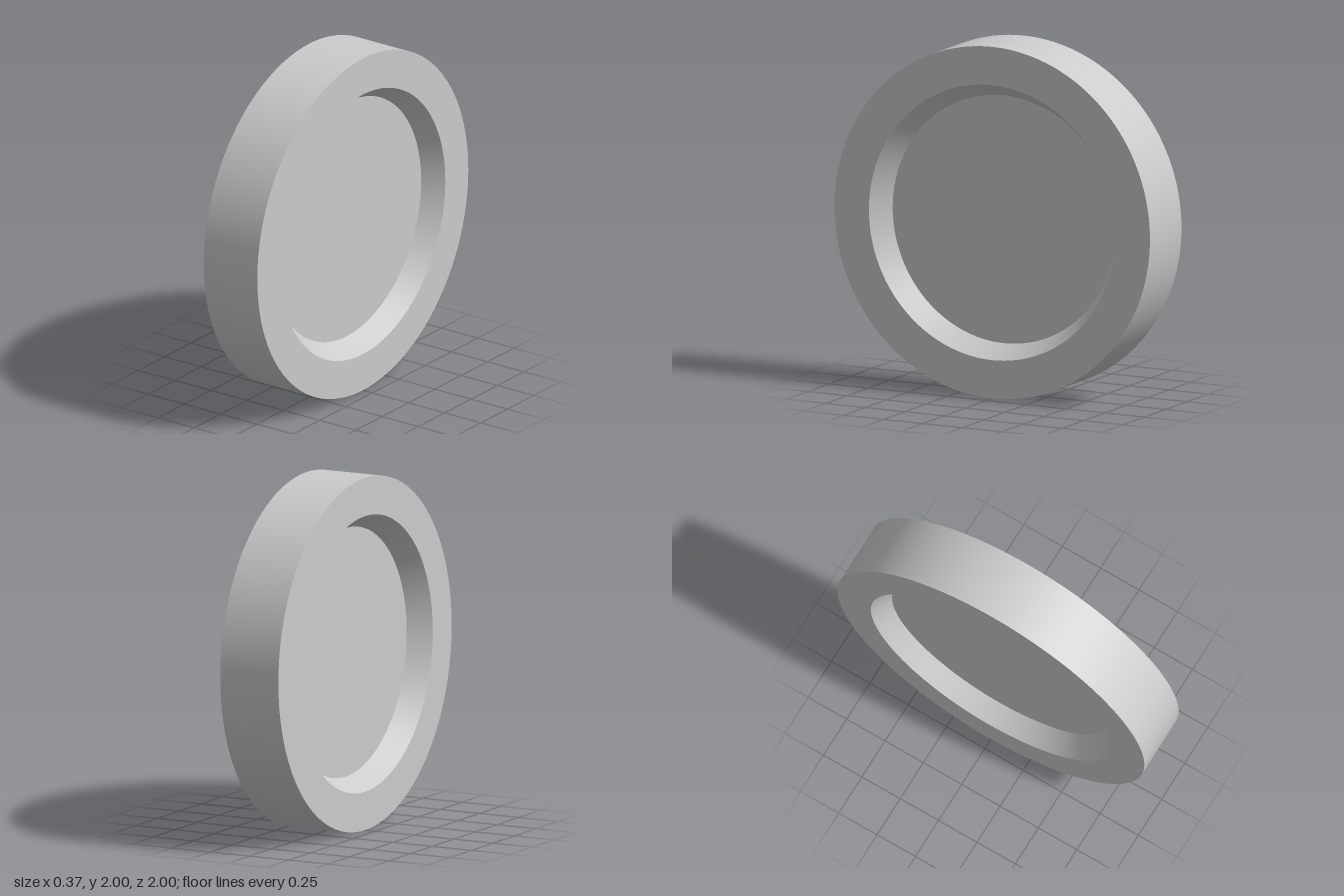
import * as THREE from 'three';
import { toCreasedNormals } from 'three/addons/utils/BufferGeometryUtils.js';

const HALF_WIDTH = 0.185;   // half thickness of the rim
const HALF_WEB = 0.067;     // half thickness of the recessed centre
const FLOOR_SHIFT = -0.01;  // the recess floors sit slightly off centre

export function createModel() {
  const group = new THREE.Group();
  group.name = 'recessedDisc';

  // Half profile (radius, axial), mirrored to the other side
  const half = [[0, HALF_WEB], [0.705, HALF_WEB], [0.782, HALF_WIDTH], [1, HALF_WIDTH]];
  const profile = [
    ...half.map(([r, a]) => new THREE.Vector2(r, -a)),
    ...half.map(([r, a]) => new THREE.Vector2(r, a)).reverse(),
  ];

  // Turn the disc so that its axis runs along x
  const geometry = new THREE.LatheGeometry(profile, 128);
  geometry.rotateZ(-Math.PI / 2);

  // Slide both recess floors, which skews the tapered walls a little
  const pos = geometry.attributes.position;
  for (let i = 0; i < pos.count; i++) {
    if (Math.abs(pos.getX(i)) < 0.1) pos.setZ(i, pos.getZ(i) + FLOOR_SHIFT);
  }

  const disc = new THREE.Mesh(
    toCreasedNormals(geometry, 0.5),
    new THREE.MeshStandardMaterial({ color: 0xcccccc })
  );
  disc.name = 'disc';
  disc.position.y = 1;
  group.add(disc);
  return group;
}
